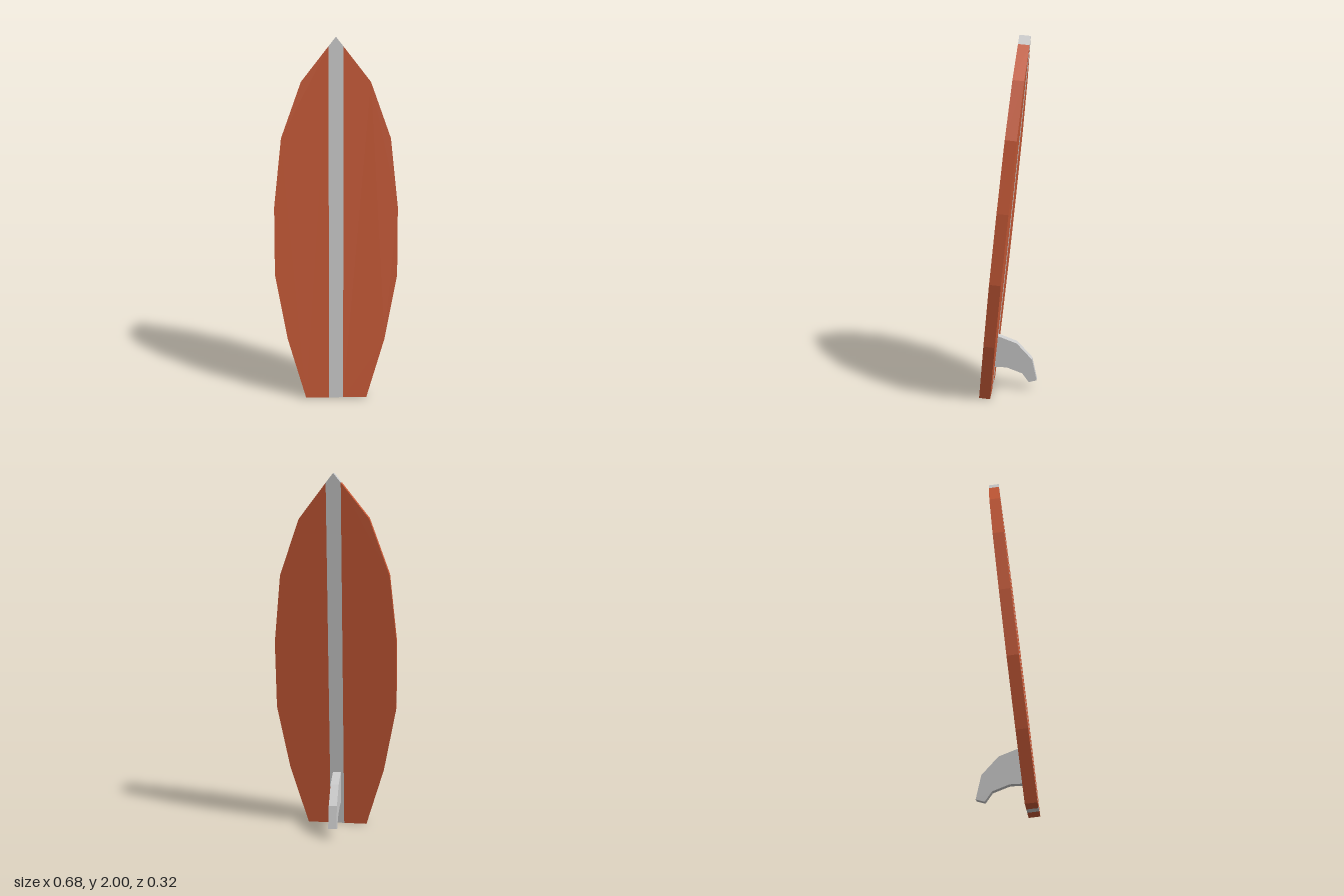
import * as THREE from 'three';

const LEAN = 0.1062; // backward tilt of the board
const THICK = 0.062;
const STRIPE = 0.04; // half width of the centre stripe

function slab(name, points, depth, material) {
  const shape = new THREE.Shape(points.map(([x, y]) => new THREE.Vector2(x, y)));
  const geometry = new THREE.ExtrudeGeometry(shape, { depth, bevelEnabled: false });
  geometry.translate(0, 0, -depth);
  const mesh = new THREE.Mesh(geometry, material);
  mesh.name = name;
  return mesh;
}

export function createModel() {
  const model = new THREE.Group();
  model.name = 'surfboard';
  const orange = new THREE.MeshStandardMaterial({ color: 0xc85a37, flatShading: true });
  const grey = new THREE.MeshStandardMaterial({ color: 0xcccccc, flatShading: true });

  // Leaning board, origin at the front edge of the tail
  const board = new THREE.Group();
  board.name = 'board';
  board.position.set(0, 0.0066, 0.158);
  board.rotation.x = -LEAN;
  model.add(board);

  // Coloured halves, mirrored about the stripe
  const nose = 2.004;
  const shoulder = 1.954;
  const half = [
    [STRIPE, 0], [0.171, 0], [0.272, 0.342], [0.34, 0.709], [0.34, 1.088],
    [0.299, 1.464], [0.189, 1.766], [STRIPE, shoulder],
  ];
  for (const [name, side] of [['leftDeck', 1], ['rightDeck', -1]]) {
    board.add(slab(name, half.map(([x, y]) => [x * side, y]), THICK, orange));
  }

  // Centre stripe running through to the pointed nose
  board.add(slab('centreStripe',
    [[-STRIPE, 0], [STRIPE, 0], [STRIPE, shoulder], [0, nose], [-STRIPE, shoulder]], THICK, grey));

  // Swept fin on the back, profile given as [backward, up]
  const fin = slab('fin', [
    [-0.09, 0.135], [-0.013, 0.132], [0.077, 0.098], [0.114, 0.046],
    [0.16, 0.058], [0.133, 0.182], [0.045, 0.278], [-0.07, 0.322],
  ], 0.046, grey);
  fin.geometry.translate(0, 0, 0.023).rotateY(Math.PI / 2);
  model.add(fin);

  return model;
}
